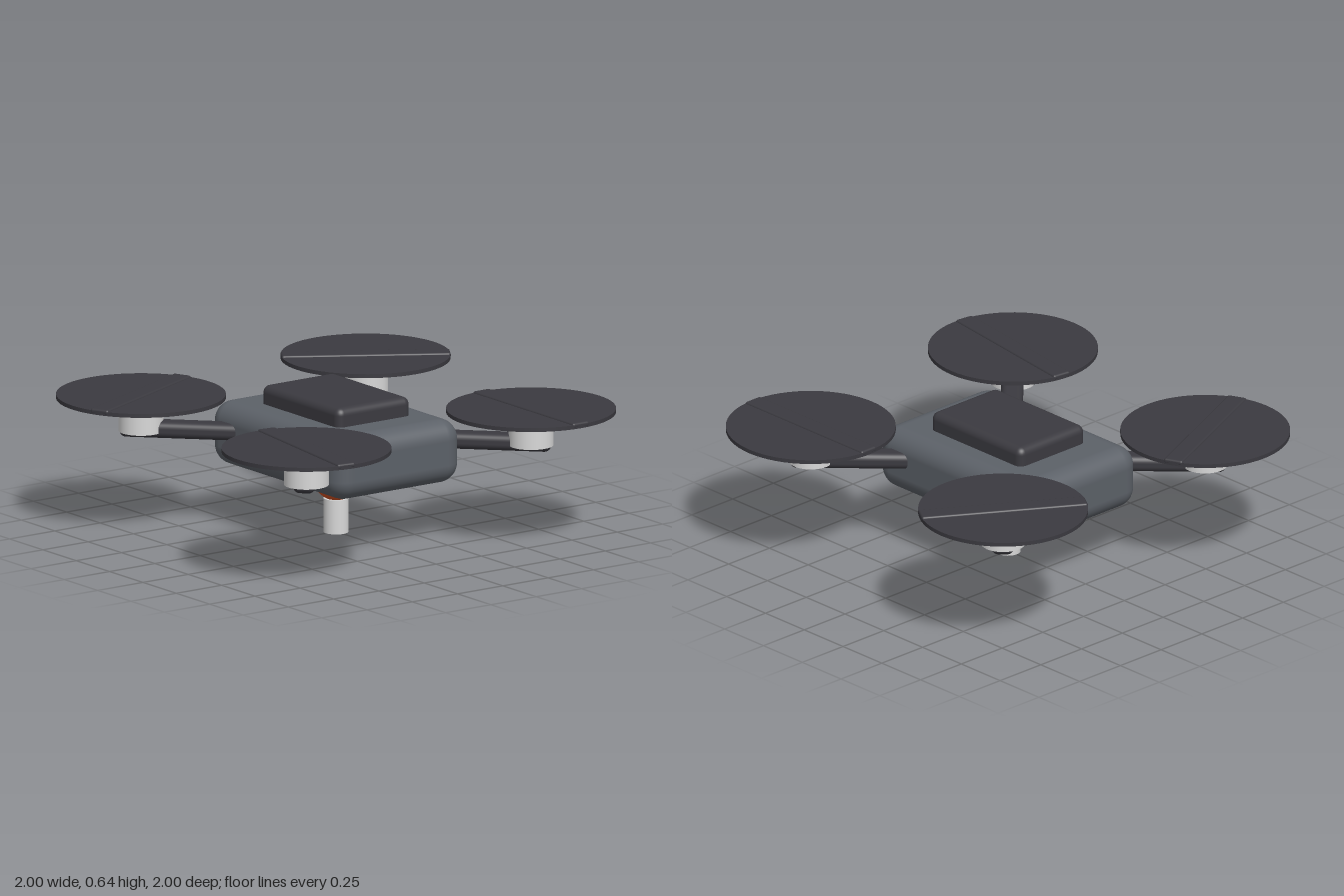
import * as THREE from 'three';
import { RoundedBoxGeometry } from 'three/addons/geometries/RoundedBoxGeometry.js';

function material(name, color) {
  const m = new THREE.MeshStandardMaterial({ color });
  m.name = name;
  return m;
}

export function createModel() {
  const model = new THREE.Group();
  model.name = 'quadcopter';
  const grey = material('slate grey', 0x5c6168);
  const dark = material('charcoal', 0x3b3a40);
  const white = material('light grey', 0xd8d8d8);
  const orange = material('orange', 0xd4501f);

  const add = (parent, name, geometry, mat, x, y, z) => {
    const mesh = new THREE.Mesh(geometry, mat);
    mesh.name = name;
    mesh.position.set(x, y, z);
    parent.add(mesh);
    return mesh;
  };

  // Hull and top cover
  add(model, 'body', new RoundedBoxGeometry(0.985, 0.29, 0.7, 5, 0.09), grey, 0, 0.415, 0);
  add(model, 'topCover', new RoundedBoxGeometry(0.585, 0.15, 0.405, 4, 0.035), dark, 0, 0.57, 0);

  // Gimbal ball and hanging camera
  add(model, 'gimbalBall', new THREE.SphereGeometry(0.1, 32, 20), orange, 0, 0.245, 0);
  add(model, 'cameraBarrel', new THREE.CylinderGeometry(0.056, 0.056, 0.155, 32), white, 0, 0.0775, 0);

  // Four diagonal arms, each with a motor, rotor disc and blade
  const rotors = [
    ['frontLeft', 1, 1, 8],
    ['frontRight', -1, 1, 66],
    ['backLeft', 1, -1, 0],
    ['backRight', -1, -1, -58],
  ];
  const armLength = 0.97;
  for (const [name, sx, sz, bladeAngle] of rotors) {
    const unit = new THREE.Group();
    unit.name = name + 'RotorUnit';
    model.add(unit);
    const x = sx * 0.62, z = sz * 0.62;
    const mid = armLength / 2 / Math.SQRT2;
    const arm = add(unit, 'arm', new RoundedBoxGeometry(armLength, 0.075, 0.1, 4, 0.03), dark, sx * mid, 0.443, sz * mid);
    arm.rotation.y = -Math.atan2(sz, sx);
    add(unit, 'motor', new THREE.CylinderGeometry(0.1, 0.1, 0.15, 32), white, x, 0.505, z);
    add(unit, 'rotorDisc', new THREE.CylinderGeometry(0.378, 0.378, 0.018, 64), dark, x, 0.59, z);
    const blade = add(unit, 'blade', new RoundedBoxGeometry(0.755, 0.024, 0.09, 3, 0.01), dark, x, 0.595, z);
    blade.rotation.y = -THREE.MathUtils.degToRad(bladeAngle);
  }
  return model;
}
